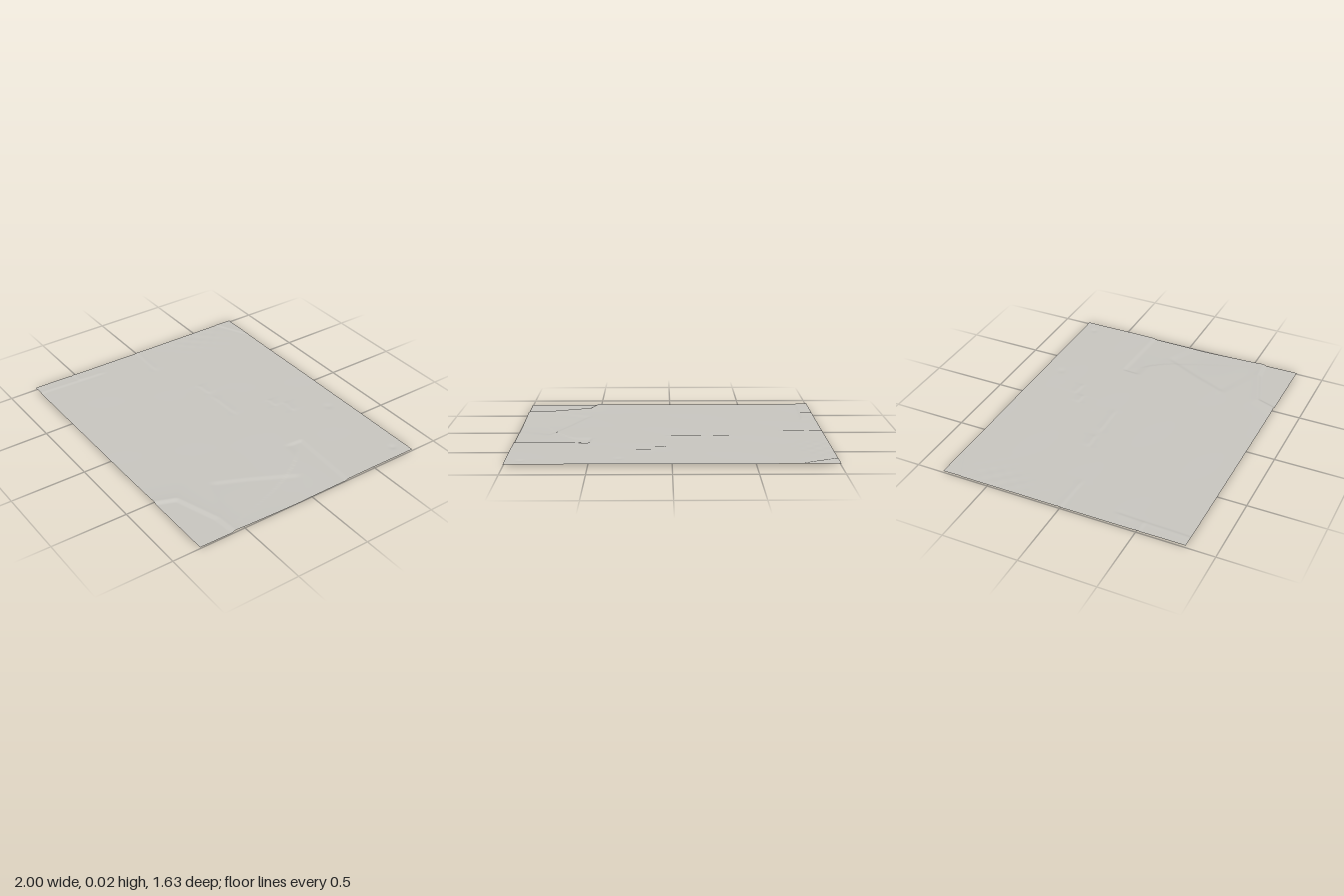
import * as THREE from 'three';

const WIDTH = 2, DEPTH = 1.63, BASE = 0.021;
const smooth = (t) => { t = Math.min(1, Math.max(0, t)); return t * t * (3 - 2 * t); };
const bump = (x, z, cx, cz, rx, rz) => Math.exp(-(((x - cx) / rx) ** 2) - ((z - cz) / rz) ** 2);

// A scarp drops on the right hand of its path and swells on its left.
const scarp = (lift, drop, reach, width, ...path) => ({ lift, drop, reach, width, path });
const ditch = (...path) => scarp(0.003, 0.002, 0.03, 0.018, ...path);

// Angular cut, sunken bank and curved embankment at the right
const banks = [
  scarp(0.001, 0.007, 0.25, 0.025, [0.5, -0.16], [0.51, -0.31], [1.15, -0.28]),
  scarp(0.001, 0.005, 0.22, 0.04, [0.53, 0.45], [0.64, 0.2], [0.79, -0.1]),
  scarp(0.006, 0.005, 0.35, 0.03, [0.47, 0.92], [0.56, 0.68], [0.85, 0.58], [1.15, 0.55]),
];

// Long ditch in the middle, left margin, and small marks at the back
const ditches = [
  ditch([-0.4, -0.12], [-0.25, -0.13]),
  ditch([-0.24, -0.125], [0.06, -0.135]),
  ditch([-1.1, 0], [-0.7, 0.01]),
  ditch([-0.93, 0.95], [-0.91, 0.3]),
  ditch([-1.05, 0.52], [-0.9, 0.515]),
  ditch([-1.08, -0.66], [-0.75, -0.82]),
  ditch([0.02, -0.41], [0.12, -0.41]),
  ditch([0.1, -0.48], [0.24, -0.47]),
];

function scarpHeight({ path, lift, drop, reach, width }, x, z) {
  let best = Infinity, side = 0, along = 0, length = 0;
  for (let i = 0; i < path.length - 1; i++) {
    const [ax, az] = path[i], dx = path[i + 1][0] - ax, dz = path[i + 1][1] - az;
    const len = Math.hypot(dx, dz);
    const t = Math.min(1, Math.max(0, ((x - ax) * dx + (z - az) * dz) / (len * len)));
    const d = Math.hypot(x - ax - dx * t, z - az - dz * t);
    if (d < best - 1e-9) {
      best = d;
      side = Math.sign((z - az) * dx - (x - ax) * dz);
      along = length + t * len;
    }
    length += len;
  }
  const taper = Math.min(0.07, length * 0.25);
  const ends = smooth(along / taper) * smooth((length - along) / taper);
  const h = side > 0
    ? (lift - (lift + drop) * smooth(best / width)) * Math.exp(-best / reach)
    : lift * Math.exp(-best / Math.max(0.03, width * 2));
  return h * ends;
}

function groundHeight(x, z) {
  let y = BASE;
  y -= 0.009 * bump(x, z, 0.98, 0.08, 0.3, 0.28);      // hollow at the right
  y += 0.004 * bump(x, z, -1.02, 0.85, 0.12, 0.4);     // raised left front corner
  y -= 0.003 * bump(x, z, 0.32, -0.69, 0.025, 0.025);  // pits at the back
  y -= 0.004 * bump(x, z, 0.91, -0.73, 0.02, 0.02);
  y += 0.0004 * (Math.sin(x * 9 + z * 4) + Math.sin(z * 13 - x * 5));
  // rough patch at the back left
  y += 0.001 * bump(x, z, -0.92, -0.45, 0.12, 0.2) * Math.sin(x * 60) * Math.sin(z * 55);
  for (const line of [...banks, ...ditches]) y += scarpHeight(line, x, z);
  return y;
}

export function createModel() {
  const group = new THREE.Group();
  group.name = 'terrainTile';
  const stone = new THREE.MeshStandardMaterial({ color: 0xc6c4be, side: THREE.DoubleSide });
  stone.name = 'pale grey ground';

  // Fine sheet lifted by the height rule
  const geometry = new THREE.PlaneGeometry(WIDTH, DEPTH, 220, 180);
  geometry.rotateX(-Math.PI / 2);
  const pos = geometry.attributes.position;
  for (let i = 0; i < pos.count; i++) pos.setY(i, groundHeight(pos.getX(i), pos.getZ(i)));
  geometry.computeBoundingBox();
  geometry.translate(0, -geometry.boundingBox.min.y, 0);
  geometry.computeVertexNormals();

  const ground = new THREE.Mesh(geometry, stone);
  ground.name = 'groundSurface';
  group.add(ground);
  return group;
}
